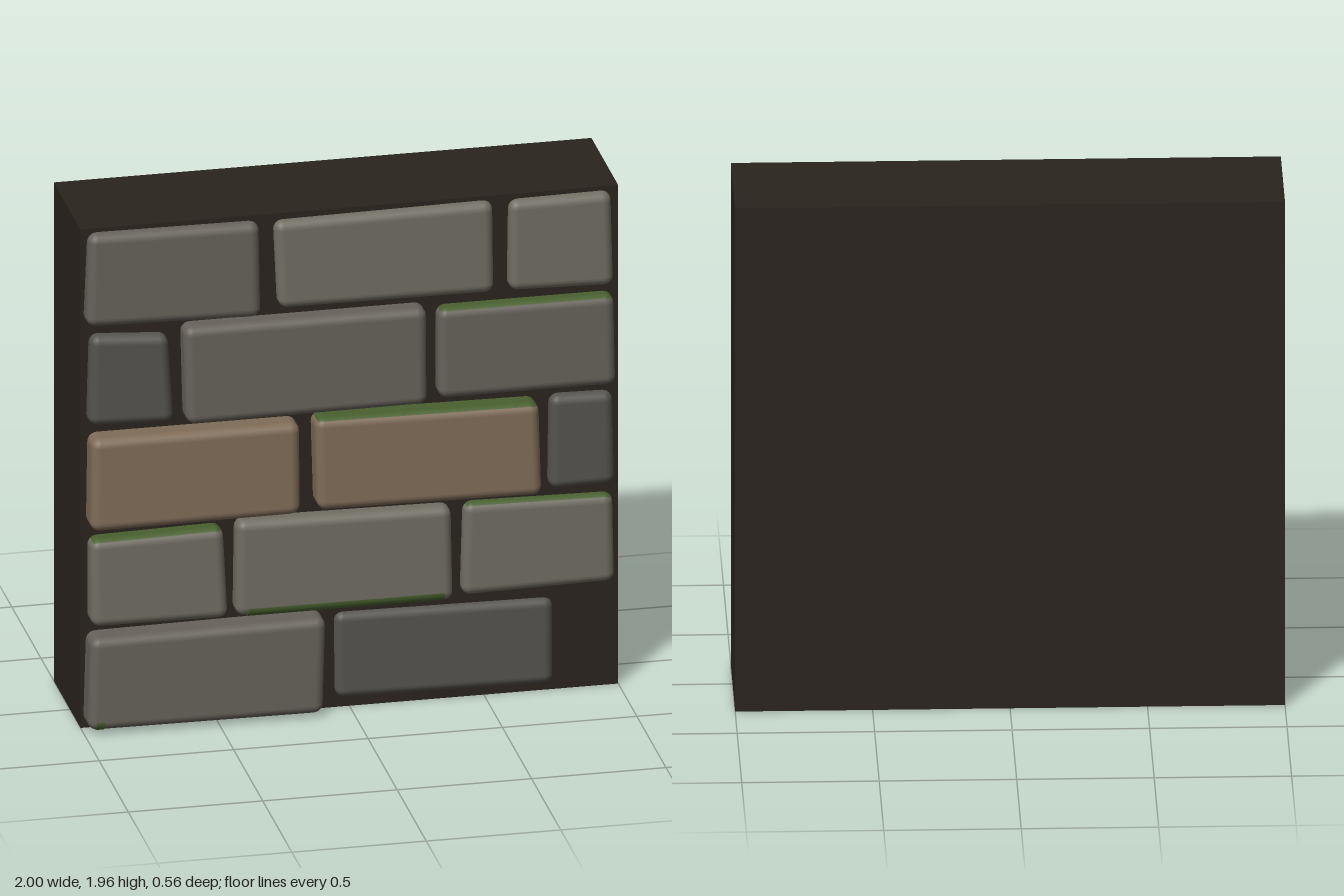
import * as THREE from 'three';
import { RoundedBoxGeometry } from 'three/addons/geometries/RoundedBoxGeometry.js';

const paint = (color) => new THREE.MeshStandardMaterial({ color });
const mortar = paint(0x2a241e);
const moss = paint(0x48602f);
const stones = {
  grey: paint(0x66615a),
  pale: paint(0x706d62),
  dark: paint(0x55534e),
  tan: paint(0x7f6c58),
};
const BEVEL = 0.035;

// Each stone: tone, corners [x, y] as bottom-left, bottom-right, top-left, top-right,
// front z at its bottom and top, and whether its upper edge is mossy
const courses = [
  [
    ['grey', [-0.99, 0.02, -0.115, 0.015, -0.98, 0.38, -0.105, 0.39], 0.28, 0.28],
    ['dark', [-0.055, 0.04, 0.755, 0.03, -0.06, 0.375, 0.755, 0.365], 0.21, 0.205],
  ],
  [
    ['pale', [-0.975, 0.42, -0.465, 0.415, -0.975, 0.755, -0.48, 0.765], 0.265, 0.25, true],
    ['pale', [-0.435, 0.41, 0.375, 0.405, -0.43, 0.78, 0.37, 0.77], 0.25, 0.24],
    ['pale', [0.41, 0.41, 0.98, 0.42, 0.42, 0.77, 0.975, 0.76], 0.23, 0.22, true],
  ],
  [
    ['tan', [-0.98, 0.8, -0.2, 0.805, -0.975, 1.16, -0.2, 1.16], 0.28, 0.27],
    ['tan', [-0.135, 0.81, 0.7, 0.8, -0.145, 1.17, 0.69, 1.16], 0.275, 0.27, true],
    ['dark', [0.735, 0.8, 0.98, 0.805, 0.74, 1.165, 0.975, 1.16], 0.23, 0.22],
  ],
  [
    ['dark', [-0.98, 1.2, -0.66, 1.19, -0.97, 1.55, -0.68, 1.53], 0.235, 0.225],
    ['grey', [-0.62, 1.185, 0.275, 1.19, -0.63, 1.565, 0.275, 1.565], 0.265, 0.255],
    ['grey', [0.32, 1.2, 0.98, 1.2, 0.32, 1.55, 0.975, 1.55], 0.25, 0.24, true],
  ],
  [
    ['grey', [-0.99, 1.595, -0.34, 1.58, -0.975, 1.945, -0.34, 1.94], 0.25, 0.22],
    ['pale', [-0.27, 1.6, 0.53, 1.595, -0.285, 1.935, 0.53, 1.945], 0.235, 0.215],
    ['pale', [0.585, 1.595, 0.975, 1.585, 0.59, 1.94, 0.97, 1.945], 0.235, 0.215],
  ],
];

// Rounded block warped to four corners, with a leaning front face
function stone([tone, c, zBottom, zTop, mossy]) {
  const w = (c[2] - c[0] + c[6] - c[4]) / 2;
  const h = (c[5] - c[1] + c[7] - c[3]) / 2;
  const d = 0.2;
  const geo = new RoundedBoxGeometry(w, h, d, 3, BEVEL);
  const p = geo.attributes.position;
  const mix = THREE.MathUtils.lerp;
  for (let i = 0; i < p.count; i++) {
    const u = p.getX(i) / w + 0.5;
    const v = p.getY(i) / h + 0.5;
    p.setXYZ(
      i,
      mix(mix(c[0], c[2], u), mix(c[4], c[6], u), v),
      mix(mix(c[1], c[3], u), mix(c[5], c[7], u), v),
      p.getZ(i) - d / 2 + mix(zBottom, zTop, v),
    );
  }
  // the third side of the block is its upper face
  const m = stones[tone];
  return new THREE.Mesh(geo, mossy ? [m, m, moss, m, m, m] : m);
}

// Quarter-round moss strip hugging the lower front edge of a stone
function mossStrip(x0, x1, y, z) {
  const geo = new THREE.CylinderGeometry(BEVEL + 0.003, BEVEL + 0.003, x1 - x0, 8, 1, false, 0, Math.PI / 2);
  geo.rotateZ(Math.PI / 2);
  geo.rotateX(Math.PI / 2);
  // after turning, the arc runs from straight down to straight forward
  geo.computeBoundingBox();
  const b = geo.boundingBox;
  geo.translate((x0 + x1) / 2, y - b.min.y, z - b.max.z);
  const mesh = new THREE.Mesh(geo, moss);
  mesh.name = 'mossStrip';
  return mesh;
}

export function createModel() {
  const group = new THREE.Group();
  group.name = 'stoneWall';

  const core = new THREE.Mesh(new THREE.BoxGeometry(2, 1.96, 0.46), mortar);
  core.name = 'mortarCore';
  core.position.set(0, 0.98, -0.05);
  group.add(core);

  courses.forEach((course, row) => {
    const layer = new THREE.Group();
    layer.name = `stoneCourse${row + 1}`;
    course.forEach((spec, i) => {
      const mesh = stone(spec);
      mesh.name = `stone${row + 1}_${i + 1}`;
      layer.add(mesh);
    });
    group.add(layer);
  });

  group.add(mossStrip(-0.39, 0.34, 0.404, 0.252));
  group.add(mossStrip(-0.96, -0.93, 0.017, 0.282));
  return group;
}
